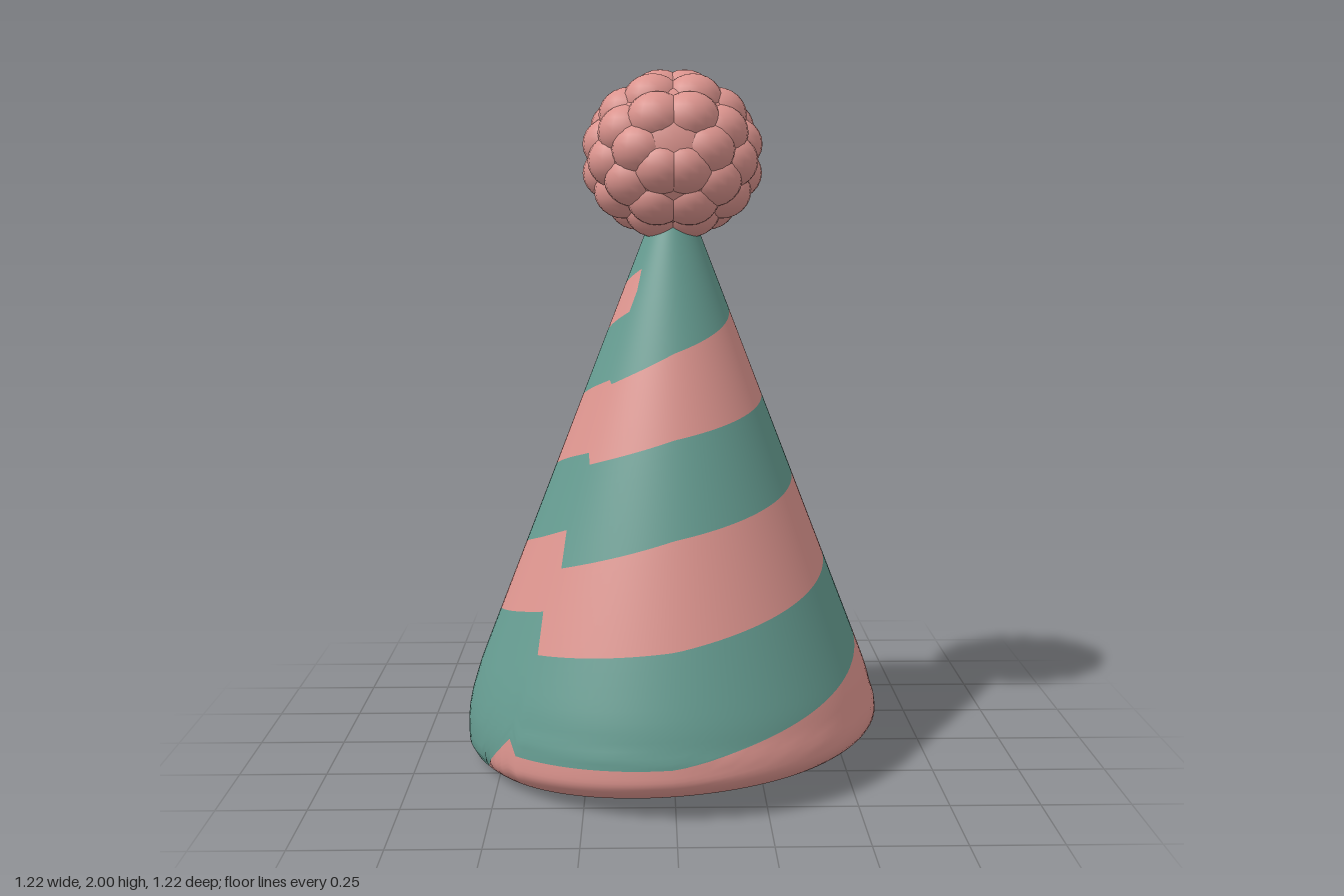
import * as THREE from 'three';
import { mergeVertices } from 'three/addons/utils/BufferGeometryUtils.js';

const teal = new THREE.MeshStandardMaterial({ color: 0x659b90 });
teal.name = 'teal felt';
const pink = new THREE.MeshStandardMaterial({ color: 0xdc948e });
pink.name = 'pink felt';

// Stripe edges (lower, upper per band) at a few angles around the cone,
// with a sharp step at 135 degrees and another where the wrap closes.
const stripeKeys = [
  [-140, 0.465, 0.68, 0.90, 1.11, 1.28, 1.46, 1.50, 1.50],
  [-90, 0.43, 0.64, 0.83, 1.05, 1.22, 1.45, 1.50, 1.50],
  [0, 0.12, 0.37, 0.61, 0.85, 1.08, 1.33, 1.48, 1.48],
  [90, 0.00, 0.15, 0.44, 0.72, 0.98, 1.21, 1.38, 1.38],
  [136, 0.00, 0.12, 0.39, 0.62, 0.90, 1.12, 1.38, 1.38],
  [139, 0.02, 0.16, 0.50, 0.72, 0.93, 1.13, 1.32, 1.44],
  [155, 0.00, 0.00, 0.47, 0.68, 0.905, 1.105, 1.295, 1.42],
  [220, 0.00, 0.00, 0.35, 0.54, 0.79, 1.00, 1.19, 1.34],
];

function stripeEdges(deg) {
  let k = 0;
  while (k < stripeKeys.length - 2 && deg > stripeKeys[k + 1][0]) k++;
  const a = stripeKeys[k], b = stripeKeys[k + 1];
  const t = (deg - a[0]) / (b[0] - a[0]);
  return a.slice(1).map((v, i) => THREE.MathUtils.lerp(v, b[i + 1], t));
}

// Outer radius, with the hem rolled under and the widest part rounded
function outerRadius(y, hem) {
  const roll = Math.max(0, 1 - (y - hem) / 0.06);
  const round = 0.008 * Math.exp(-(((y - 0.18) / 0.05) ** 2));
  return Math.min(0.68 - 0.39 * y, 0.614) - round - 0.045 * roll * roll;
}

function makeCone() {
  const COLS = 120, SUB = 12, INNER = 14, TOP = 1.64;
  const positions = [];
  let rows = 0;
  for (let c = 0; c <= COLS; c++) {
    const deg = -140 + (c * 360) / COLS;
    const a = THREE.MathUtils.degToRad(deg);
    const cos = Math.cos(a), sin = Math.sin(a);
    const hem = 0.06 + 0.04 * cos - 0.02 * cos * cos;
    const column = [];
    // shallow domed underside, from its middle out to the hem
    for (let i = 0; i < INNER; i++) {
      const t = i / (INNER - 1);
      column.push([0.558 * t, THREE.MathUtils.lerp(0.23, hem, t * t)]);
    }
    // outside, one strip per colour
    const edges = [hem, ...stripeEdges(deg), TOP];
    for (let i = 1; i < edges.length; i++) edges[i] = Math.max(edges[i], edges[i - 1]);
    for (let s = 0; s < edges.length - 1; s++) {
      for (let i = s ? 1 : 0; i <= SUB; i++) {
        const y = THREE.MathUtils.lerp(edges[s], edges[s + 1], (i / SUB) ** 1.6);
        column.push([outerRadius(y, hem), y]);
      }
    }
    rows = column.length;
    for (const [r, y] of column) positions.push(r * cos, y, r * sin);
  }

  const index = [];
  for (let j = 0; j < rows - 1; j++) {
    for (let c = 0; c < COLS; c++) {
      const p = c * rows + j, q = p + rows;
      index.push(p, p + 1, q, q, p + 1, q + 1);
    }
  }
  let geo = new THREE.BufferGeometry();
  geo.setAttribute('position', new THREE.Float32BufferAttribute(positions, 3));
  geo.setIndex(index);
  geo = mergeVertices(geo, 1e-5);
  geo.computeVertexNormals();

  // alternate the two colours strip by strip; the underside is teal
  const perRow = COLS * 6;
  geo.addGroup(0, INNER * perRow, 0);
  for (let s = 0; s < 9; s++) {
    geo.addGroup((INNER + s * SUB) * perRow, SUB * perRow, s % 2);
  }
  const cone = new THREE.Mesh(geo, [teal, pink]);
  cone.name = 'stripedCone';
  return cone;
}

// Fluffy ball: a core covered in soft tufts, mirrored left and right
function makePompom() {
  const pompom = new THREE.Group();
  pompom.name = 'pompom';
  const core = new THREE.Mesh(new THREE.SphereGeometry(0.218, 32, 20), pink);
  core.name = 'pompomCore';
  pompom.add(core);
  const tuftGeo = new THREE.SphereGeometry(0.08, 18, 12);
  const count = 52;
  for (let i = 0; i < count; i++) {
    const y = 1 - (2 * (i + 0.5)) / count;
    const r = Math.sqrt(1 - y * y);
    const a = i * Math.PI * (3 - Math.sqrt(5));
    const x = r * Math.cos(a);
    if (x < 0.1) continue;
    const d = 0.168 + 0.006 * Math.sin(i * 2.3);
    for (const side of [1, -1]) {
      const tuft = new THREE.Mesh(tuftGeo, pink);
      tuft.name = 'pompomTuft';
      tuft.position.set(side * x * d, y * d, r * Math.sin(a) * d);
      pompom.add(tuft);
    }
  }
  pompom.position.y = 1.765;
  pompom.scale.set(1.08, 0.97, 1.0);
  return pompom;
}

export function createModel() {
  const hat = new THREE.Group();
  hat.name = 'partyHat';
  hat.add(makeCone(), makePompom());
  return hat;
}
